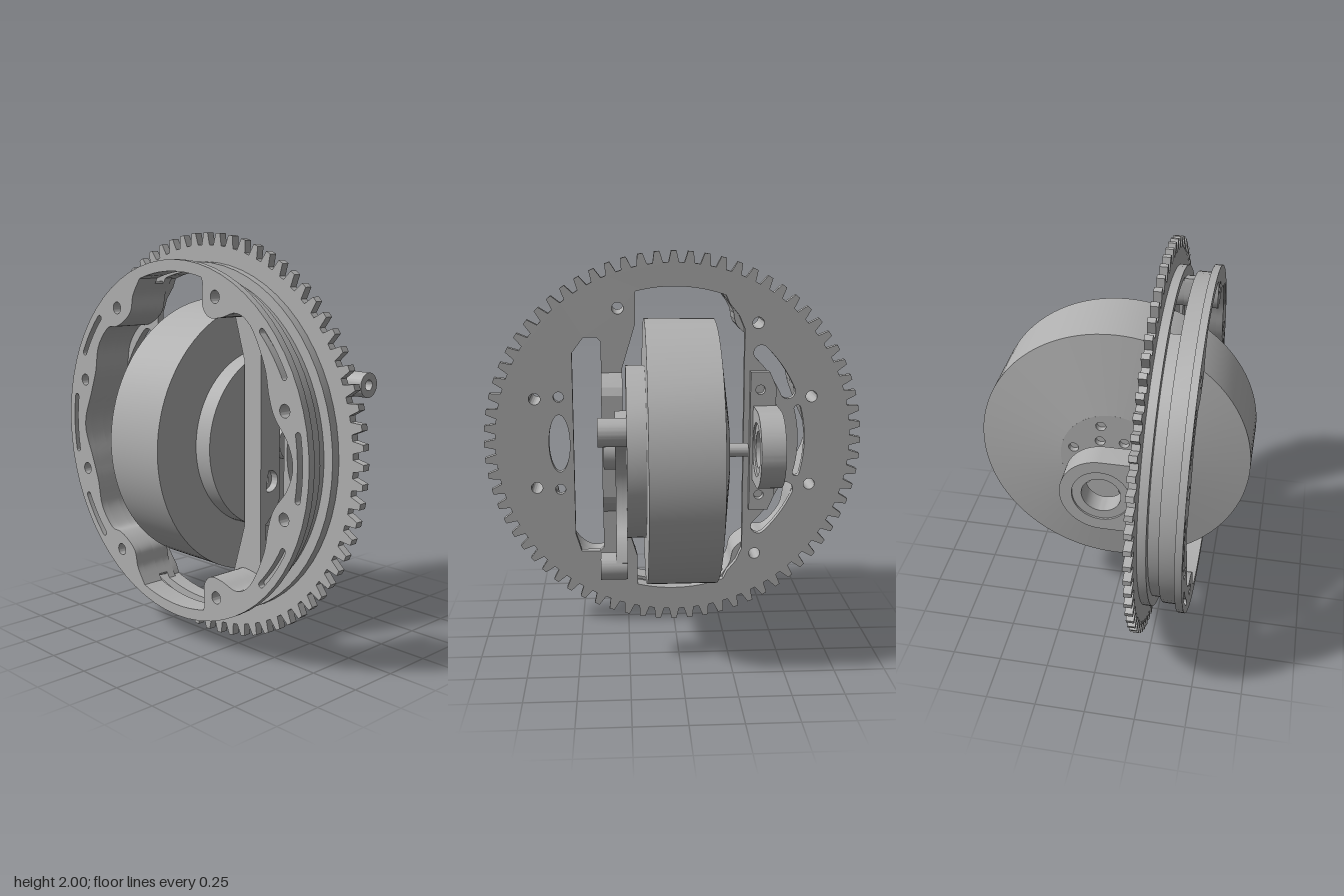
import * as THREE from 'three';
import { toCreasedNormals } from 'three/addons/utils/BufferGeometryUtils.js';

const V = (x, y) => new THREE.Vector2(x, y);
const polar = (r, deg) => V(r * Math.cos(deg * Math.PI / 180), r * Math.sin(deg * Math.PI / 180));

export function createModel() {
  const model = new THREE.Group();
  const steel = new THREE.MeshStandardMaterial({ color: 0xb0b0b0 });

  const add = (name, geo, crease = 0.3) => {
    const mesh = new THREE.Mesh(toCreasedNormals(geo, crease), steel);
    mesh.name = name;
    mesh.position.y = 1;
    model.add(mesh);
    return mesh;
  };
  const circle = (x, y, r) => new THREE.Path().absarc(x, y, r, 0, Math.PI * 2, false);
  const extrude = (shape, depth) =>
    new THREE.ExtrudeGeometry(shape, { depth, bevelEnabled: false, curveSegments: 32 });
  // plate facing z, drawn in x and y
  const plateZ = (name, shape, z0, z1) => add(name, extrude(shape, z1 - z0).translate(0, 0, z0));
  // plate facing x, drawn in -z and y
  const plateX = (name, shape, x0, x1) =>
    add(name, extrude(shape, x1 - x0).translate(0, 0, x0).rotateY(Math.PI / 2));
  // curved slot around the centre
  const arcSlot = (r, w, d0, d1) => {
    const a0 = d0 * Math.PI / 180, a1 = d1 * Math.PI / 180;
    const p = new THREE.Path();
    p.absarc(0, 0, r + w, a0, a1, false);
    p.absarc(r * Math.cos(a1), r * Math.sin(a1), w, a1, a1 + Math.PI, false);
    p.absarc(0, 0, r - w, a1, a0, true);
    p.absarc(r * Math.cos(a0), r * Math.sin(a0), w, a0 + Math.PI, a0 + 2 * Math.PI, false);
    return p;
  };
  const arcPts = (r, d0, d1, n) =>
    Array.from({ length: n + 1 }, (_, i) => polar(r, d0 + (d1 - d0) * i / n));

  // screw holes shared by gear and pulley
  const screwHoles = [];
  for (const s of [-1, 1])
    for (const [u, v] of [[-0.29, 0.71], [0.44, 0.63], [-0.73, 0.24], [0.73, 0.24]])
      screwHoles.push([u, v * s]);
  const drill = (shape) => screwHoles.forEach(([u, v]) => shape.holes.push(circle(u, v, 0.03)));

  // toothed ring plate with its cut-outs
  const teeth = 72, step = 360 / teeth, outline = [];
  for (let i = 0; i < teeth; i++)
    for (const [f, r] of [[-0.33, 0.942], [-0.16, 1], [0.16, 1], [0.33, 0.942]])
      outline.push(polar(r, 90 + (i + f) * step));
  const gear = new THREE.Shape(outline);
  drill(gear);
  gear.holes.push(new THREE.Path([
    V(0.37, -0.6), V(0.37, 0.6), V(0.34, 0.67), V(0.29, 0.73), V(0.27, 0.774),
    ...arcPts(0.82, 72, 104, 12), V(-0.2, 0.63), V(-0.27, 0.4),
    V(-0.27, -0.4), V(-0.2, -0.63), ...arcPts(0.82, -104, -72, 12),
    V(0.27, -0.774), V(0.29, -0.73), V(0.34, -0.67)]));
  gear.holes.push(new THREE.Path([
    V(-0.38, -0.58), V(-0.38, 0.54), V(-0.4, 0.56), V(-0.47, 0.56), V(-0.53, 0.48),
    V(-0.53, -0.5), V(-0.5, -0.6), V(-0.4, -0.6)]));
  gear.holes.push(new THREE.Path().absellipse(-0.605, 0, 0.055, 0.155, 0, Math.PI * 2, false));
  for (const s of [-1, 1]) gear.holes.push(circle(-0.605, s * 0.25, 0.027));
  gear.holes.push(arcSlot(0.66, 0.04, 24, 46), arcSlot(0.66, 0.04, -46, -24), arcSlot(0.68, 0.018, -15, 15));
  plateX('ringGear', gear, -0.228, -0.19);

  // inner outline of the pulley: angle and radius on each side, mirrored up and down
  const side = (list, sign) => {
    const half = list.map(([d, r]) => polar(r, d));
    const all = [...half.slice(1).reverse().map((p) => V(p.x, -p.y)), ...half];
    return new THREE.SplineCurve(all.map((p) => V(p.x * sign, p.y))).getPoints(90);
  };
  const backList = [[0, 0.74], [15, 0.7], [25, 0.7], [35, 0.74], [45, 0.74], [50, 0.7],
    [56, 0.685], [62, 0.7], [66, 0.76], [70, 0.8]];
  const frontList = [[0, 0.78], [8, 0.755], [17, 0.7], [25, 0.7], [35, 0.74], [48, 0.785],
    [56, 0.775], [62, 0.7], [68, 0.665], [73, 0.7], [75, 0.8]];
  const back = side(backList, 1), front = side(frontList, -1);
  const contour = [...back, ...arcPts(0.82, 72, 104, 12), ...front.slice().reverse(), ...arcPts(0.82, -104, -72, 12)];

  const pulleyRing = (name, r, x0, x1, slotted) => {
    const shape = new THREE.Shape().absarc(0, 0, r, 0, Math.PI * 2, false);
    shape.holes.push(new THREE.Path(contour));
    drill(shape);
    if (slotted)
      for (const c of [0, 180])
        for (const [a, b] of [[-10, 10], [28, 44], [-44, -28]])
          shape.holes.push(arcSlot(0.822, 0.015, c + a, c + b));
    plateX(name, shape, x0, x1);
  };
  pulleyRing('outerFlange', 0.875, -0.435, -0.4, true);
  pulleyRing('pulleyRim', 0.837, -0.4, -0.322);
  pulleyRing('innerFlange', 0.862, -0.27, -0.228);
  // groove floor, open at top and bottom
  for (const [pts, mid, half] of [[back, 0, 70], [front, 180, 75]]) {
    const arc = arcPts(0.812, mid - half, mid + half, 60);
    const inner = mid ? pts : pts.slice().reverse();
    const shape = new THREE.Shape([...arc, ...inner]);
    screwHoles.filter(([u]) => (u < 0) === (mid === 180))
      .forEach(([u, v]) => shape.holes.push(circle(u, v, 0.03)));
    plateX('grooveFloor', shape, -0.322, -0.27);
  }

  // motor body with tapered back and stepped front
  const profile = [[0, -0.22], [0.26, -0.22], [0.26, -0.25], [0.675, -0.19], [0.675, 0.16],
    [0.44, 0.16], [0.44, 0.255], [0, 0.255]].map(([r, z]) => V(r, z));
  add('motorBody', new THREE.LatheGeometry(profile, 96).rotateX(Math.PI / 2), 0.1);
  const vent = new THREE.Shape().absarc(0, 0, 0.26, 0, Math.PI * 2, false);
  for (let i = 0; i < 6; i++)
    for (const [r, d] of [[0.12, 0], [0.2, 14]]) {
      const p = polar(r, i * 60 + d);
      vent.holes.push(circle(p.x, p.y, 0.025));
    }
  plateZ('ventPlate', vent, -0.25, -0.22);
  const rod = (name, r, z0, z1) =>
    add(name, new THREE.CylinderGeometry(r, r, z1 - z0, 40).rotateX(Math.PI / 2).translate(0, 0, (z0 + z1) / 2));
  rod('rearShaft', 0.035, -0.37, -0.24);
  rod('frontBoss', 0.092, 0.25, 0.37);

  // bearing holder behind the motor
  const holder = new THREE.Shape();
  holder.moveTo(-0.19, -0.2);
  holder.lineTo(0, -0.2);
  holder.absarc(0, 0, 0.2, -Math.PI / 2, Math.PI / 2, false);
  holder.lineTo(-0.19, 0.2);
  holder.holes.push(circle(0, 0, 0.14));
  plateZ('bearingHolder', holder, -0.54, -0.415);
  const ring = new THREE.Shape().absarc(0, 0, 0.14, 0, Math.PI * 2, false);
  ring.holes.push(circle(0, 0, 0.095));
  plateZ('bearing', ring, -0.53, -0.425);
  const foot = new THREE.Shape([V(0.4, -0.37), V(0.5, -0.37), V(0.535, -0.29), V(0.535, 0.3),
    V(0.5, 0.38), V(0.4, 0.38)]);
  for (const s of [-1, 1]) foot.holes.push(circle(0.452, s * 0.285, 0.025));
  plateX('bearingFoot', foot, -0.19, -0.15);

  // side mount joining gear plate and motor front, with counterbored holes
  for (const [r, z0, z1] of [[0.03, 0.27, 0.34], [0.052, 0.34, 0.38]]) {
    const mount = new THREE.Shape([V(-0.228, -0.4), V(-0.18, -0.37), V(-0.12, -0.31), V(-0.1, -0.27),
      V(-0.1, 0.27), V(-0.12, 0.31), V(-0.18, 0.37), V(-0.228, 0.4)]);
    for (const s of [-1, 1]) mount.holes.push(circle(-0.165, s * 0.17, r));
    plateZ('sideMount', mount, z0, z1);
  }

  // two-armed bracket on the motor front
  for (const [r, z0, z1] of [[0.035, 0.255, 0.28], [0.062, 0.28, 0.31]]) {
    const arm = new THREE.Shape();
    arm.moveTo(0.05, -0.34);
    arm.lineTo(0.18, -0.37);
    arm.quadraticCurveTo(0.24, -0.39, 0.28, -0.47);
    arm.lineTo(0.33, -0.5);
    arm.lineTo(0.395, -0.46);
    arm.quadraticCurveTo(0.36, -0.38, 0.32, -0.34);
    arm.bezierCurveTo(0.19, -0.24, 0.18, 0, 0.36, 0.1);
    arm.quadraticCurveTo(0.43, 0.16, 0.54, 0.16);
    arm.lineTo(0.56, 0.22);
    arm.lineTo(0.52, 0.27);
    arm.quadraticCurveTo(0.48, 0.19, 0.42, 0.21);
    arm.lineTo(0.235, 0.26);
    arm.closePath();
    arm.holes.push(circle(0.265, 0.145, r), circle(0.14, -0.26, r));
    plateZ('armBracket', arm, z0, z1);
  }
  for (const [x, y] of [[0.557, 0.225], [0.335, -0.495]]) {
    const boss = new THREE.Shape().absarc(x, y, 0.066, 0, Math.PI * 2, false);
    boss.holes.push(circle(x, y, 0.028));
    plateZ('armBoss', boss, 0.255, 0.387);
  }
  return model;
}
